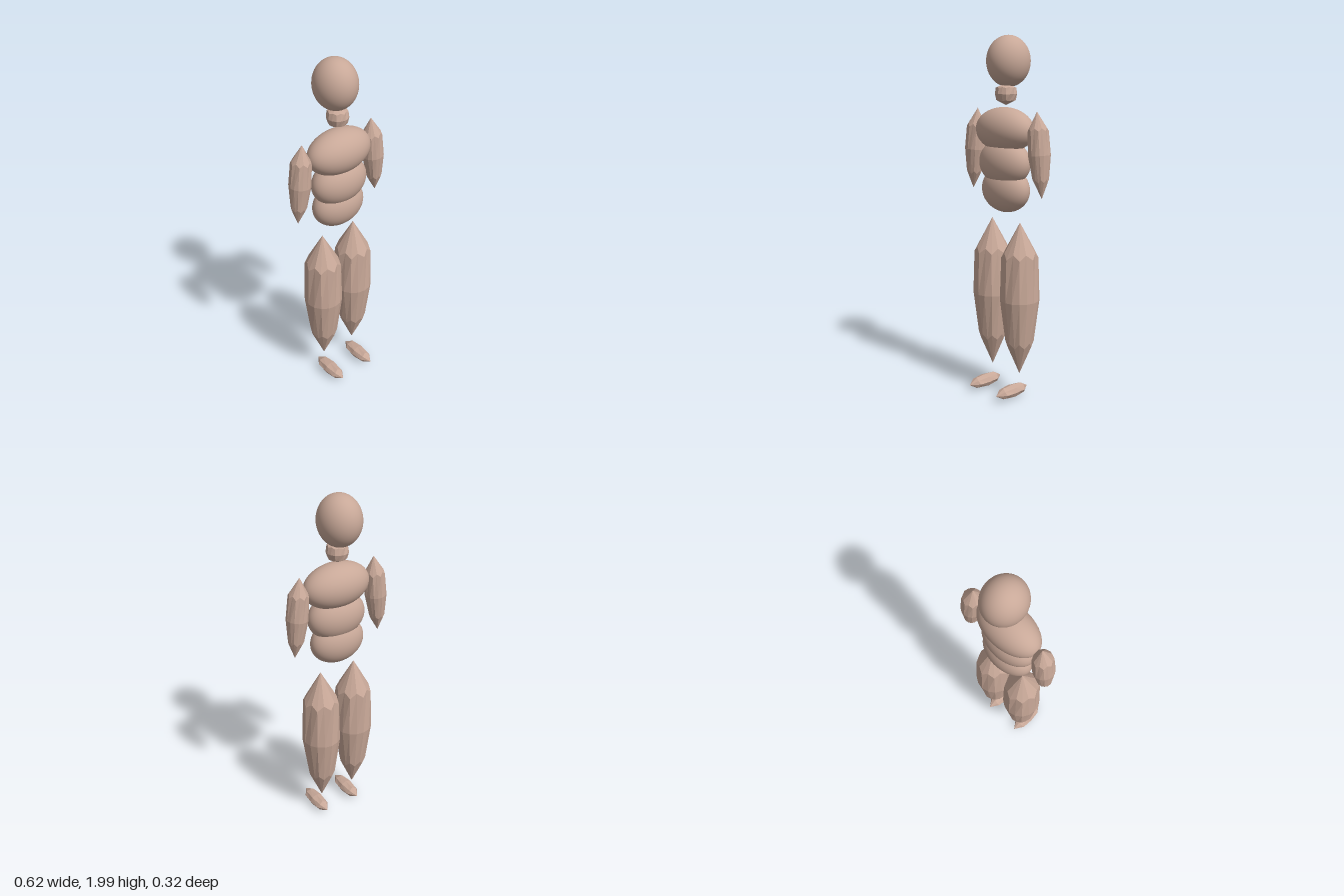
import * as THREE from 'three';

const clay = new THREE.MeshStandardMaterial({ color: 0xc8a898 });
clay.name = 'clay';
const facetedClay = clay.clone();
facetedClay.name = 'faceted clay';
facetedClay.flatShading = true;

// Faceted spindle of half length 1 along y: pointed ends, scalloped shoulders, full middle
function spindle(sides, topScale, bottomScale) {
  const rings = [
    [-0.55, 0.97 * bottomScale, -0.62, 0.86 * bottomScale],
    [0, 1, 0, 1],
    [0.55, 0.97 * topScale, 0.62, 0.86 * topScale],
  ];
  const pos = [0, -1, 0], index = [];
  for (const [y0, r0, y1, r1] of rings) {
    for (let i = 0; i < sides; i++) {
      const a = (i / sides) * Math.PI * 2;
      const [y, r] = i % 2 ? [y1, r1] : [y0, r0];
      pos.push(Math.sin(a) * r, y, Math.cos(a) * r);
    }
  }
  pos.push(0, 1, 0);
  const tip = 1 + 3 * sides;
  for (let i = 0; i < sides; i++) {
    const j = (i + 1) % sides;
    index.push(0, 1 + j, 1 + i);
    for (let k = 0; k < 2; k++) {
      const a = 1 + k * sides + i, b = 1 + k * sides + j;
      index.push(a, b, b + sides, a, b + sides, a + sides);
    }
    index.push(1 + 2 * sides + i, 1 + 2 * sides + j, tip);
  }
  const g = new THREE.BufferGeometry();
  g.setAttribute('position', new THREE.Float32BufferAttribute(pos, 3));
  g.setIndex(index);
  const flat = g.toNonIndexed();
  flat.computeVertexNormals();
  return flat;
}

export function createModel() {
  const model = new THREE.Group();
  model.name = 'figure';

  const add = (name, geometry, material, radii, centre) => {
    const mesh = new THREE.Mesh(geometry, material);
    mesh.name = name;
    mesh.scale.set(...radii);
    mesh.position.set(...centre);
    model.add(mesh);
    return mesh;
  };

  // Smooth head and stacked torso
  const ball = new THREE.SphereGeometry(1, 48, 32);
  add('head', ball, clay, [0.115, 0.137, 0.124], [0, 1.863, -0.038]);
  add('chest', ball, clay, [0.195, 0.122, 0.115], [0, 1.498, -0.01]);
  add('waist', ball, clay, [0.17, 0.13, 0.106], [0, 1.32, -0.01]);
  add('pelvis', ball, clay, [0.16, 0.127, 0.1], [0, 1.172, -0.018]);

  // Faceted neck
  add('neck', spindle(16, 0.95, 0.9), facetedClay, [0.06, 0.06, 0.06], [0, 1.69, -0.02]);

  // Faceted limbs, mirrored
  const limb = spindle(16, 0.96, 0.75);
  const footShape = spindle(8, 0.9, 0.9);
  for (const [side, s] of [['left', 1], ['right', -1]]) {
    const arm = add(side + 'Arm', limb, facetedClay, [0.06, 0.229, 0.06], [s * 0.25, 1.378, -0.022]);
    arm.rotation.z = s * 0.088;
    add(side + 'Leg', limb, facetedClay, [0.109, 0.435, 0.111], [s * 0.11, 0.565, -0.02]);
    const foot = add(side + 'Foot', footShape, facetedClay, [0.043, 0.12, 0.036], [s * 0.11, 0.042, 0.04]);
    foot.rotation.x = Math.PI / 2;
  }
  return model;
}
